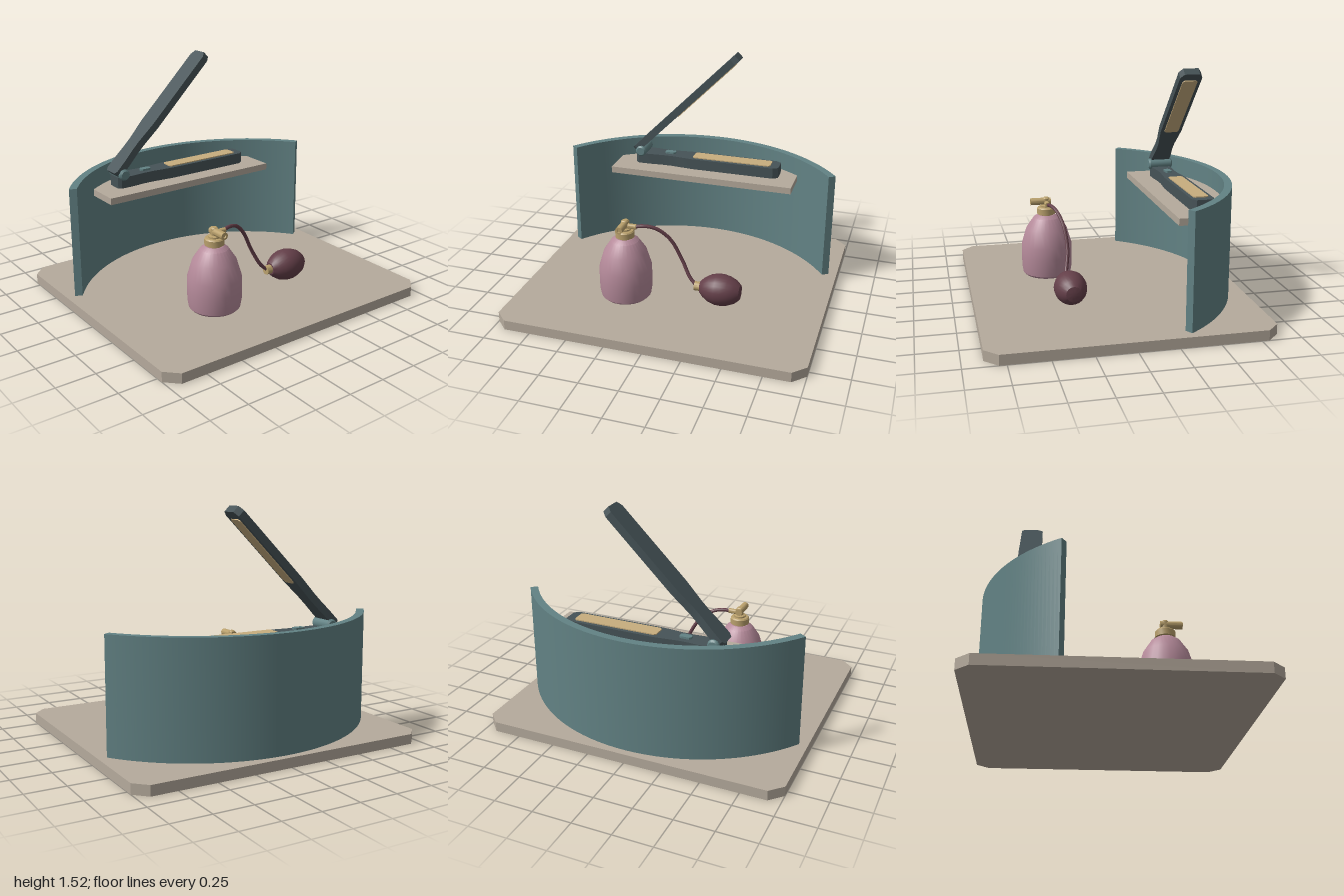
import * as THREE from 'three';
import { toCreasedNormals } from 'three/addons/utils/BufferGeometryUtils.js';

const mat = (color) => new THREE.MeshStandardMaterial({ color });
const STONE = mat(0xb5aa9c), TEAL = mat(0x628284), DARK = mat(0x465357), TAN = mat(0xc7ad7e);
const BRASS = mat(0xb9a06c), PINK = mat(0xb58a9a), WINE = mat(0x643f49);

function add(parent, name, geometry, material, x = 0, y = 0, z = 0) {
  const mesh = new THREE.Mesh(toCreasedNormals(geometry, 0.4), material);
  mesh.name = name;
  mesh.position.set(x, y, z);
  parent.add(mesh);
  return mesh;
}

// Plan outline (x, -z) raised along y
function slab(shape, height, curveSegments = 32) {
  const g = new THREE.ExtrudeGeometry(shape, { depth: height, bevelEnabled: false, curveSegments });
  return g.rotateX(-Math.PI / 2);
}

const polygon = (pts) => new THREE.Shape(pts.map(([x, y]) => new THREE.Vector2(x, y)));
const lathe = (pts, sides = 28) =>
  new THREE.LatheGeometry(pts.map(([r, y]) => new THREE.Vector2(r, y)), sides);

// Rectangle from x0 to x1, centred on y = 0, with cut corners
function cutRect(x0, x1, half, c) {
  return polygon([[x0 + c, -half], [x1 - c, -half], [x1, -half + c], [x1, half - c],
    [x1 - c, half], [x0 + c, half], [x0, half - c], [x0, -half + c]]);
}

// One arm of the iron: waisted outline mirrored about its long axis
function ironArm(thickness) {
  const side = [[0, 0.05], [0.02, 0.066], [0.1, 0.066], [0.2, 0.058], [0.27, 0.058],
    [0.33, 0.064], [0.42, 0.073], [1.005, 0.073], [1.04, 0.05]];
  const mirrored = side.map(([x, y]) => [x, -y]);
  return slab(polygon([...mirrored, ...side.reverse()]), thickness);
}

function createIron() {
  const iron = new THREE.Group();
  iron.name = 'hairIron';
  iron.position.set(-0.51, 0.675, -0.533);

  add(iron, 'lowerArm', ironArm(0.075), DARK);
  add(iron, 'lowerPlate', slab(cutRect(0.42, 0.98, 0.049, 0.012), 0.012), TAN, 0, 0.07, 0);
  add(iron, 'switch', slab(cutRect(0.205, 0.28, 0.022, 0.01), 0.02), TEAL, 0, 0.068, 0);

  // Raised arm
  const upper = new THREE.Group();
  upper.name = 'upperArm';
  upper.position.set(0.01, 0.075, 0);
  upper.rotation.z = Math.PI / 4;
  add(upper, 'upperShell', ironArm(0.05), DARK);
  add(upper, 'upperPlate', slab(cutRect(0.42, 0.98, 0.049, 0.012), 0.012), TAN, 0, -0.006, 0);
  iron.add(upper);

  // Hinge pin with softened ends
  const pin = lathe([[0, -0.085], [0.028, -0.085], [0.038, -0.075], [0.038, 0.075], [0.028, 0.085], [0, 0.085]], 20);
  add(iron, 'hinge', pin.rotateX(Math.PI / 2), TEAL, 0.04, 0.093, 0);
  return iron;
}

function createAtomiser() {
  const atomiser = new THREE.Group();
  atomiser.name = 'atomiser';
  const x = -0.3, z = 0.325;

  add(atomiser, 'bottle', lathe([[0, 0.065], [0.15, 0.065], [0.165, 0.08], [0.173, 0.13], [0.174, 0.2],
    [0.173, 0.28], [0.14, 0.39], [0.09, 0.465], [0.06, 0.485], [0, 0.485]]), PINK, x, 0, z);
  add(atomiser, 'collar', lathe([[0, 0.475], [0.052, 0.475], [0.052, 0.488], [0.063, 0.492], [0.063, 0.53],
    [0.056, 0.538], [0.04, 0.54], [0.04, 0.55], [0.024, 0.555], [0.024, 0.598], [0.016, 0.606], [0, 0.606]], 24), BRASS, x, 0, z);

  // Spray nozzle and hose fitting
  const nozzle = lathe([[0, -0.03], [0.024, -0.03], [0.024, 0.108], [0.012, 0.108], [0.01, 0.1], [0, 0.1]], 18);
  add(atomiser, 'nozzle', nozzle.rotateX(Math.PI / 2), BRASS, x, 0.578, z);
  add(atomiser, 'hoseFitting', new THREE.CylinderGeometry(0.017, 0.017, 0.08, 16).rotateZ(Math.PI / 2),
    BRASS, x + 0.04, 0.568, z);

  // Flexible hose
  const path = new THREE.CatmullRomCurve3([
    [-0.24, 0.565, 0.325], [-0.18, 0.573, 0.31], [-0.1, 0.553, 0.283], [-0.015, 0.475, 0.253],
    [0.06, 0.335, 0.241], [0.125, 0.217, 0.262], [0.175, 0.172, 0.273],
  ].map((p) => new THREE.Vector3(...p)));
  add(atomiser, 'hose', new THREE.TubeGeometry(path, 36, 0.012, 10), WINE);

  // Squeeze bulb lying along x
  const bulb = lathe([[0, -0.135], [0.04, -0.135], [0.065, -0.11], [0.09, -0.07], [0.103, -0.025], [0.104, 0.015],
    [0.096, 0.055], [0.078, 0.098], [0.05, 0.13], [0.025, 0.135], [0, 0.137]].map(([r, y]) => [r, y]));
  add(atomiser, 'bulb', bulb.rotateZ(-Math.PI / 2), WINE, 0.332, 0.172, 0.273);
  add(atomiser, 'bulbCollar', new THREE.CylinderGeometry(0.03, 0.03, 0.05, 18).rotateZ(Math.PI / 2),
    BRASS, 0.183, 0.172, 0.273);
  return atomiser;
}

export function createModel() {
  const model = new THREE.Group();
  model.name = 'vanityDisplay';

  // Base board with cut corners
  const w = 1, d = 0.875, c = 0.08;
  add(model, 'base', slab(polygon([[-w + c, -d], [w - c, -d], [w, -d + c], [w, d - c],
    [w - c, d], [-w + c, d], [-w, d - c], [-w, -d + c]]), 0.065), STONE);

  // Curved back screen
  const arcY = -0.32, spread = THREE.MathUtils.degToRad(55.2);
  const a0 = Math.PI / 2 - spread, a1 = Math.PI / 2 + spread;
  const wall = new THREE.Shape();
  wall.absarc(0, arcY, 1.15, a0, a1, false);
  wall.absarc(0, arcY, 1.1, a1, a0, true);
  add(model, 'screen', slab(wall, 0.735, 40), TEAL, 0, 0.065, 0);

  // Shelf whose rear edge follows the screen
  const shelf = new THREE.Shape();
  const s = Math.acos(0.65 / 1.11);
  shelf.moveTo(-0.65, 0.335);
  shelf.lineTo(0.65, 0.335);
  shelf.absarc(0, arcY, 1.11, s, Math.PI - s, false);
  add(model, 'shelf', slab(shelf, 0.045), STONE, 0, 0.63, 0);

  model.add(createIron(), createAtomiser());
  return model;
}
